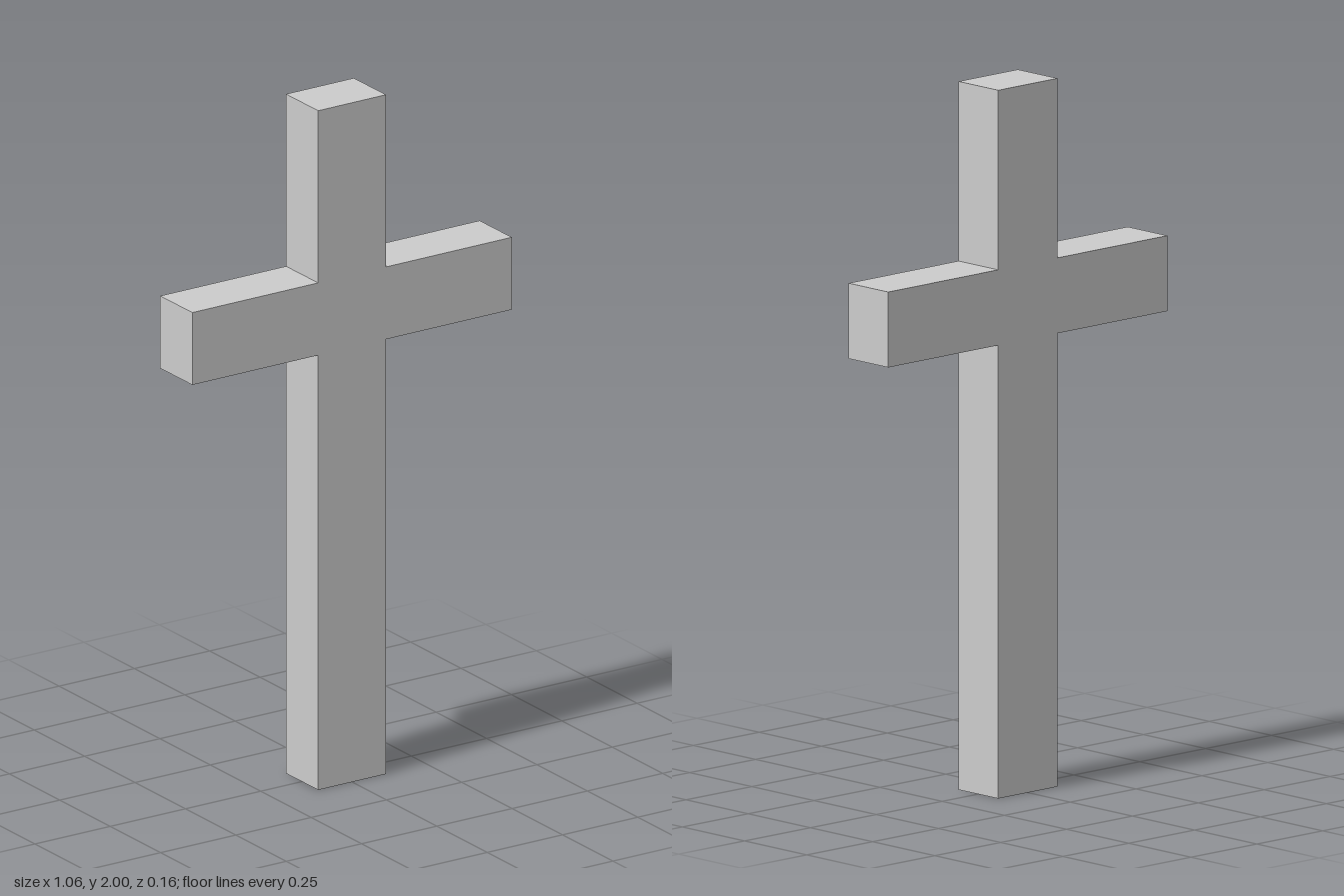
import * as THREE from 'three';

const HEIGHT = 2, DEPTH = 0.159;
const POST = 0.113; // half width of the upright
const ARM = 0.532; // half span of the crossbar
const BAR_LOW = 1.28, BAR_HIGH = 1.493;

export function createModel() {
  const group = new THREE.Group();
  group.name = 'cross';

  // Right half of the outline, mirrored to close the cross
  const half = [[POST, 0], [POST, BAR_LOW], [ARM, BAR_LOW], [ARM, BAR_HIGH], [POST, BAR_HIGH], [POST, HEIGHT]];
  const mirrored = half.map(([x, y]) => [-x, y]).reverse();
  const outline = new THREE.Shape([...half, ...mirrored].map(([x, y]) => new THREE.Vector2(x, y)));

  // Upright and crossbar as one flush solid
  const geometry = new THREE.ExtrudeGeometry(outline, { depth: DEPTH, bevelEnabled: false });
  geometry.translate(0, 0, -DEPTH / 2);
  const body = new THREE.Mesh(geometry, new THREE.MeshStandardMaterial({ color: 0xcccccc, flatShading: true }));
  body.name = 'uprightAndCrossbar';
  body.rotation.y = 0.004; // very slight turn
  group.add(body);

  return group;
}
